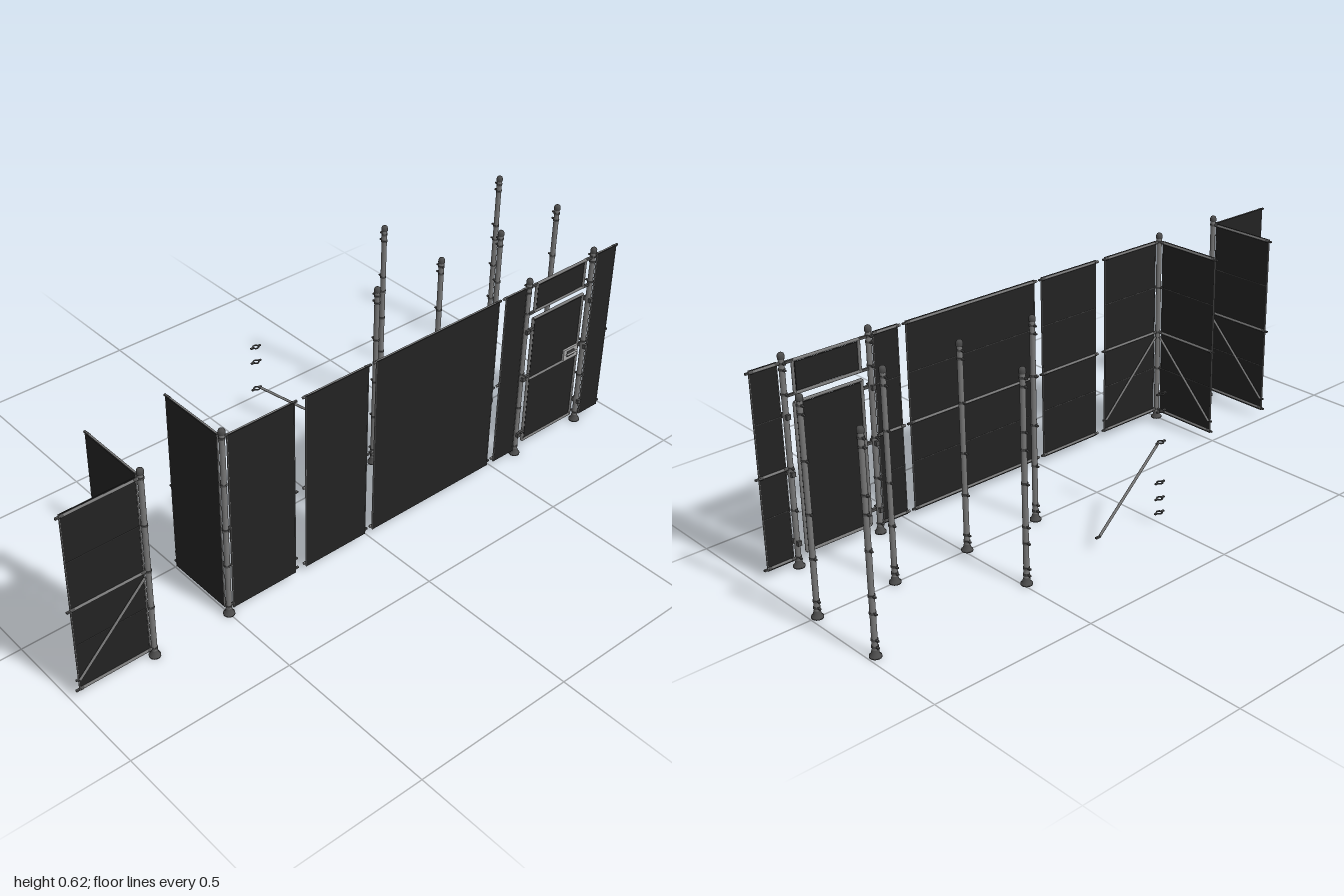
import * as THREE from 'three';

const mat = (name, color) => {
  const m = new THREE.MeshStandardMaterial({ color });
  m.name = name;
  return m;
};

export function createModel() {
  const sheet = mat('dark sheet', 0x222222);
  const steel = mat('grey steel', 0x777777);
  const fitting = mat('dark fitting', 0x4c4c4c);
  const pale = mat('pale steel', 0xa8a8a8);
  const root = new THREE.Group();

  const box = (parent, name, m, size, pos) => {
    const mesh = new THREE.Mesh(new THREE.BoxGeometry(...size), m);
    mesh.position.set(...pos);
    mesh.name = name;
    parent.add(mesh);
    return mesh;
  };

  // Round tube between two points
  const tube = (parent, name, m, a, b, r = 0.004) => {
    const p = new THREE.Vector3(...a), q = new THREE.Vector3(...b);
    const d = q.clone().sub(p);
    const mesh = new THREE.Mesh(new THREE.CylinderGeometry(r, r, d.length(), 12), m);
    mesh.position.copy(p).add(q).multiplyScalar(0.5);
    mesh.quaternion.setFromUnitVectors(new THREE.Vector3(0, 1, 0), d.normalize());
    mesh.name = name;
    parent.add(mesh);
    return mesh;
  };

  // Post: flared foot, shaft and domed cap
  const lathe = pts => new THREE.LatheGeometry(pts.map(p => new THREE.Vector2(...p)), 16);
  const footGeo = lathe([[0, 0], [0.0165, 0], [0.0165, 0.005], [0.012, 0.008], [0.009, 0.02], [0.008, 0.022]]);
  const shaftGeo = lathe([[0.008, 0.02], [0.008, 0.605]]);
  const capGeo = lathe([[0.008, 0.604], [0.0098, 0.605], [0.0098, 0.614], [0.008, 0.619], [0.004, 0.622], [0, 0.6225]]);

  function post(name, x, z, lugs, hinges = []) {
    const g = new THREE.Group();
    g.name = name;
    g.position.set(x, 0, z);
    [['postFoot', footGeo, fitting], ['postShaft', shaftGeo, steel], ['postCap', capGeo, fitting]].forEach(([n, geo, m]) => {
      const mesh = new THREE.Mesh(geo, m);
      mesh.name = n;
      g.add(mesh);
    });
    for (const y of lugs) {
      tube(g, 'postCollar', fitting, [0, y - 0.003, 0], [0, y + 0.003, 0], 0.0095);
      box(g, 'postLug', fitting, [0.006, 0.004, 0.026], [0, y, -0.004]);
    }
    for (const y of hinges) box(g, 'postClamp', fitting, [0.012, 0.014, 0.029], [0, y, 0]);
    root.add(g);
  }

  const lugSet = [0.03, 0.05, 0.173, 0.298, 0.445, 0.57, 0.593];
  const fullSet = [...lugSet, 0.125, 0.395];
  for (const x of [0.24, 0.49, 0.735, 0.98]) post('innerPost', x, 0, lugSet);
  for (const x of [0.49, 0.98]) post('rearPost', x, -0.245, fullSet);
  for (const x of [-0.745, -0.5]) post('cornerPost', x, 0.245, [0.03, 0.173, 0.296, 0.445, 0.593]);
  for (const x of [0.6, 0.87]) post('doorPost', x, 0.245, [0.03, 0.173, 0.296, 0.507, 0.575, 0.593], [0.075, 0.28, 0.445]);

  // Bay: sheeting on one side of three rails, running along local x
  function bay(name, x, z, turn, length, side, braced) {
    const g = new THREE.Group();
    g.name = name;
    g.position.set(x, 0, z);
    g.rotation.y = turn;
    const x0 = 0.012, x1 = length - 0.017, mid = (x0 + x1) / 2, w = x1 - x0;
    box(g, 'sheet', sheet, [w, 0.577, 0.003], [mid, 0.3085, side * 0.005]);
    for (const y of [0.173, 0.445]) box(g, 'sheetSeam', fitting, [w, 0.0015, 0.001], [mid, y, side * 0.0032]);
    for (const e of [x0, x1]) box(g, 'sheetEdge', steel, [0.0018, 0.577, 0.0045], [e, 0.3085, side * 0.005]);
    for (const y of [0.029, 0.296, 0.593]) {
      tube(g, 'rail', steel, [0.006, y, 0], [length - 0.014, y, 0]);
      for (const e of [x0 + 0.004, x1 - 0.004]) tube(g, 'railSleeve', fitting, [e - 0.005, y, 0], [e + 0.005, y, 0], 0.0047);
      box(g, 'railEndLug', fitting, [0.014, 0.005, 0.006], [length - 0.01, y, 0]);
    }
    if (braced) {
      tube(g, 'diagonalBrace', steel, [0.013, 0.282, -side * 0.004], [length - 0.016, 0.063, -side * 0.004], 0.0038);
      box(g, 'braceLug', fitting, [0.012, 0.005, 0.005], [length - 0.012, 0.063, 0]);
    }
    root.add(g);
  }

  bay('wingBay', -0.745, 0.245, Math.PI, 0.245, 1, true);
  bay('entrySideLeft', -0.745, 0.245, Math.PI / 2, 0.245, -1, true);
  bay('entrySideRight', -0.5, 0.245, Math.PI / 2, 0.245, -1, true);
  bay('wallBay', -0.5, 0.245, 0, 0.245, 1, true);
  bay('wallBay', -0.245, 0.245, 0, 0.245, 1, false);
  bay('longWallBay', 0, 0.245, 0, 0.49, 1, false);
  bay('doorSideBay', 0.49, 0.245, 0, 0.11, 1, false);
  bay('doorSideBay', 0.87, 0.245, 0, 0.11, 1, false);

  // Framed panel used for the door leaf and the transom above it
  function framedPanel(name, x0, x1, y0, y1, z) {
    const g = new THREE.Group();
    g.name = name;
    box(g, 'panelSheet', sheet, [x1 - x0 - 0.012, y1 - y0 - 0.012, 0.003], [(x0 + x1) / 2, (y0 + y1) / 2, z]);
    for (const y of [y0, y1]) tube(g, 'frameRail', steel, [x0, y, z], [x1, y, z], 0.0045);
    for (const x of [x0, x1]) tube(g, 'frameStile', steel, [x, y0, z], [x, y1, z], 0.0045);
    root.add(g);
    return g;
  }
  framedPanel('transom', 0.632, 0.838, 0.499, 0.591, 0.245);
  const door = framedPanel('door', 0.63, 0.842, 0.036, 0.474, 0.245);
  tube(door, 'doorMidRail', steel, [0.63, 0.263, 0.249], [0.842, 0.263, 0.249]);
  box(door, 'lockPlate', pale, [0.06, 0.036, 0.008], [0.807, 0.284, 0.249]);
  box(door, 'lockCase', fitting, [0.03, 0.018, 0.012], [0.805, 0.285, 0.25]);
  tube(door, 'doorHandle', pale, [0.785, 0.285, 0.258], [0.83, 0.285, 0.258], 0.003);
  for (const y of [0.075, 0.28, 0.445]) box(door, 'doorHinge', fitting, [0.026, 0.008, 0.008], [0.617, y, 0.25]);
  for (const y of [0.499, 0.591]) {
    for (const x of [0.62, 0.85]) box(root, 'transomBracket', fitting, [0.026, 0.007, 0.007], [x, y, 0.245]);
  }

  // Loose brace and stacked couplers behind the wall
  tube(root, 'looseBrace', steel, [0.004, 0.252, -0.25], [0.228, 0.045, -0.25]);
  box(root, 'looseBraceLug', fitting, [0.016, 0.005, 0.006], [0.235, 0.043, -0.25]);
  for (const y of [0.03, 0.075, 0.125, 0.25, 0.345, 0.397]) {
    const ring = new THREE.Mesh(new THREE.TorusGeometry(0.0085, 0.0022, 6, 14), fitting);
    ring.rotation.x = Math.PI / 2;
    ring.position.set(-0.004, y, -0.25);
    ring.name = 'coupler';
    root.add(ring);
    box(root, 'couplerLug', fitting, [0.012, 0.004, 0.006], [-0.016, y, -0.25]);
    box(root, 'couplerLug', fitting, [0.01, 0.004, 0.006], [0.009, y, -0.25]);
  }
  return root;
}
